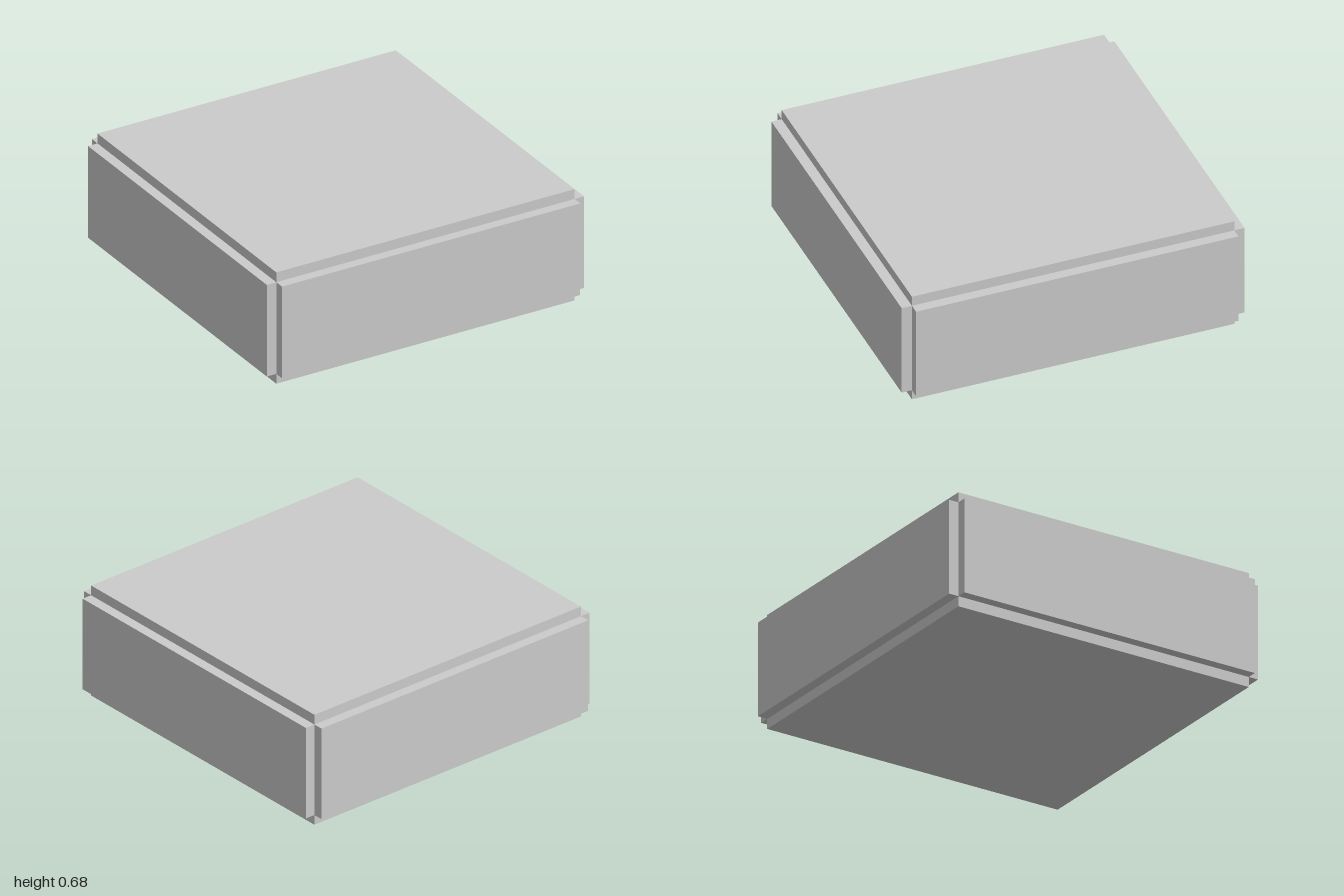
import * as THREE from 'three';

const SPAN = 1.88;   // width and depth of the block between its raised panels
const RISE = 0.56;   // height of the block between its raised panels
const STEP = 0.06;   // how far each panel stands out

export function createModel() {
  const model = new THREE.Group();
  model.name = 'panelledBlock';
  const material = new THREE.MeshStandardMaterial({ color: 0xcccccc });

  // A raised panel facing +z, open at the back so that six close into one shell
  function addPanel(name, width, height, distance, rotX, rotY) {
    const geometry = new THREE.BoxGeometry(width, height, STEP);
    geometry.setIndex(Array.from(geometry.index.array).slice(0, 30));
    geometry.clearGroups();
    geometry.translate(0, 0, distance + STEP / 2);
    geometry.rotateX(rotX);
    geometry.rotateY(rotY);
    const panel = new THREE.Mesh(geometry, material);
    panel.name = name;
    panel.position.y = RISE / 2 + STEP;
    model.add(panel);
  }

  // Four side panels
  ['frontPanel', 'leftPanel', 'backPanel', 'rightPanel'].forEach((name, i) =>
    addPanel(name, SPAN, RISE, SPAN / 2, 0, i * Math.PI / 2));

  // Top and bottom panels
  addPanel('topPanel', SPAN, SPAN, RISE / 2, -Math.PI / 2, 0);
  addPanel('bottomPanel', SPAN, SPAN, RISE / 2, Math.PI / 2, 0);

  return model;
}
